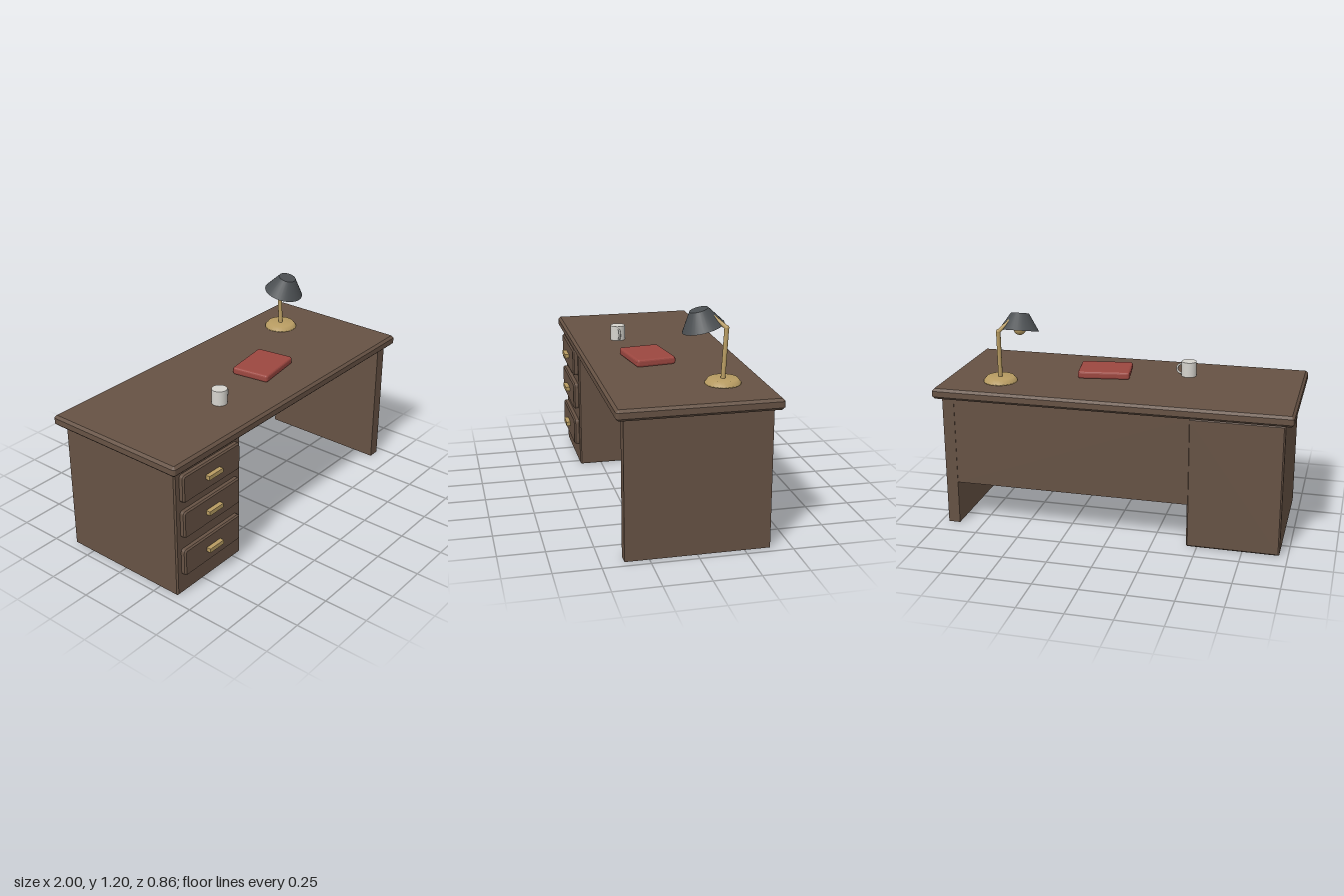
import * as THREE from 'three';

const mat = (name, color, extra = {}) => {
  const m = new THREE.MeshStandardMaterial({ color, ...extra });
  m.name = name;
  return m;
};

// Rounded plate in XY with bevelled rims, w x h x d overall, centred
function slab(w, h, d, bevel, r = 0.003, bevelSegments = 1) {
  const x = w / 2 - bevel, y = h / 2 - bevel;
  const s = new THREE.Shape();
  s.moveTo(-x + r, -y);
  s.lineTo(x - r, -y).quadraticCurveTo(x, -y, x, -y + r);
  s.lineTo(x, y - r).quadraticCurveTo(x, y, x - r, y);
  s.lineTo(-x + r, y).quadraticCurveTo(-x, y, -x, y - r);
  s.lineTo(-x, -y + r).quadraticCurveTo(-x, -y, -x + r, -y);
  const g = new THREE.ExtrudeGeometry(s, {
    depth: d - 2 * bevel, bevelEnabled: true, bevelSize: bevel,
    bevelThickness: bevel, bevelSegments, curveSegments: 3,
  });
  g.center();
  return g;
}

export function createModel() {
  const root = new THREE.Group();
  root.name = 'desk';
  const wood = mat('dark wood', 0x665244);
  const brass = mat('brass', 0xb89c62);
  const red = mat('red cover', 0x9c4740);
  const metal = mat('grey shade', 0x4b4f52, { side: THREE.DoubleSide });
  const white = mat('white ceramic', 0xd6d4ce);

  const add = (parent, name, geo, material, x, y, z) => {
    const m = new THREE.Mesh(geo, material);
    m.name = name;
    m.position.set(x, y, z);
    parent.add(m);
    return m;
  };
  // Round bar between two points
  const bar = (parent, name, a, b, r) => {
    const p = new THREE.Vector3(...a), q = new THREE.Vector3(...b);
    const dir = q.clone().sub(p);
    const c = p.clone().add(q).multiplyScalar(0.5);
    const m = add(parent, name, new THREE.CylinderGeometry(r, r, dir.length(), 12), brass, c.x, c.y, c.z);
    m.quaternion.setFromUnitVectors(new THREE.Vector3(0, 1, 0), dir.normalize());
  };

  // Desk carcass
  const top = slab(2, 0.853, 0.06, 0.014);
  top.rotateX(-Math.PI / 2);
  add(root, 'deskTop', top, wood, 0, 0.786, -0.004);
  add(root, 'pedestal', slab(0.515, 0.748, 0.767, 0.008), wood, -0.697, 0.374, -0.004);
  add(root, 'sidePanel', new THREE.BoxGeometry(0.067, 0.748, 0.767), wood, 0.922, 0.374, -0.004);
  add(root, 'modestyPanel', new THREE.BoxGeometry(1.335, 0.498, 0.04), wood, 0.222, 0.499, -0.365);

  // Drawers with pulls
  [0.643, 0.43, 0.198].forEach((y, i) => {
    const drawer = new THREE.Group();
    drawer.name = 'drawer' + (i + 1);
    root.add(drawer);
    add(drawer, 'drawerFront', slab(0.445, 0.16, 0.04, 0.008, 0.012), wood, -0.697, y, 0.388);
    add(drawer, 'drawerHandle', new THREE.BoxGeometry(0.108, 0.024, 0.029), brass, -0.697, y, 0.4185);
  });

  // Desk lamp
  const lamp = new THREE.Group();
  lamp.name = 'lamp';
  root.add(lamp);
  const basePoints = [[0, 0], [0.095, 0], [0.095, 0.008], [0.078, 0.03], [0, 0.03]];
  const base = new THREE.LatheGeometry(basePoints.map(p => new THREE.Vector2(...p)), 28);
  add(lamp, 'lampBase', base, brass, 0.675, 0.815, -0.2);
  bar(lamp, 'lampStem', [0.675, 0.84, -0.2], [0.672, 1.108, -0.216], 0.0125);
  add(lamp, 'lampElbow', new THREE.SphereGeometry(0.0135, 12, 8), brass, 0.672, 1.108, -0.216);
  bar(lamp, 'lampArm', [0.672, 1.108, -0.216], [0.62, 1.16, -0.155], 0.0115);

  // Tilted shade, open below
  const head = new THREE.Group();
  head.name = 'lampHead';
  head.position.set(0.585, 1.095, -0.116);
  head.rotation.x = 0.26;
  lamp.add(head);
  add(head, 'lampShade', new THREE.CylinderGeometry(0.05, 0.113, 0.098, 28, 1, true), metal, 0, 0.049, 0);
  const cap = add(head, 'shadeCap', new THREE.CircleGeometry(0.05, 28), metal, 0, 0.098, 0);
  cap.rotation.x = -Math.PI / 2;
  add(head, 'bulb', new THREE.SphereGeometry(0.036, 18, 12), brass, 0, 0.01, 0.01);

  // Book
  const bookGeo = slab(0.298, 0.227, 0.042, 0.012, 0.006, 3);
  bookGeo.rotateX(-Math.PI / 2);
  add(root, 'book', bookGeo, red, 0.134, 0.836, 0.08).rotation.y = 0.145;

  // Mug
  const mug = new THREE.Group();
  mug.name = 'mug';
  root.add(mug);
  add(mug, 'mugBody', new THREE.CylinderGeometry(0.043, 0.043, 0.086, 24), white, -0.34, 0.858, 0.156);
  add(mug, 'mugHandle', new THREE.TorusGeometry(0.028, 0.006, 8, 20), white, -0.299, 0.855, 0.156);

  return root;
}
